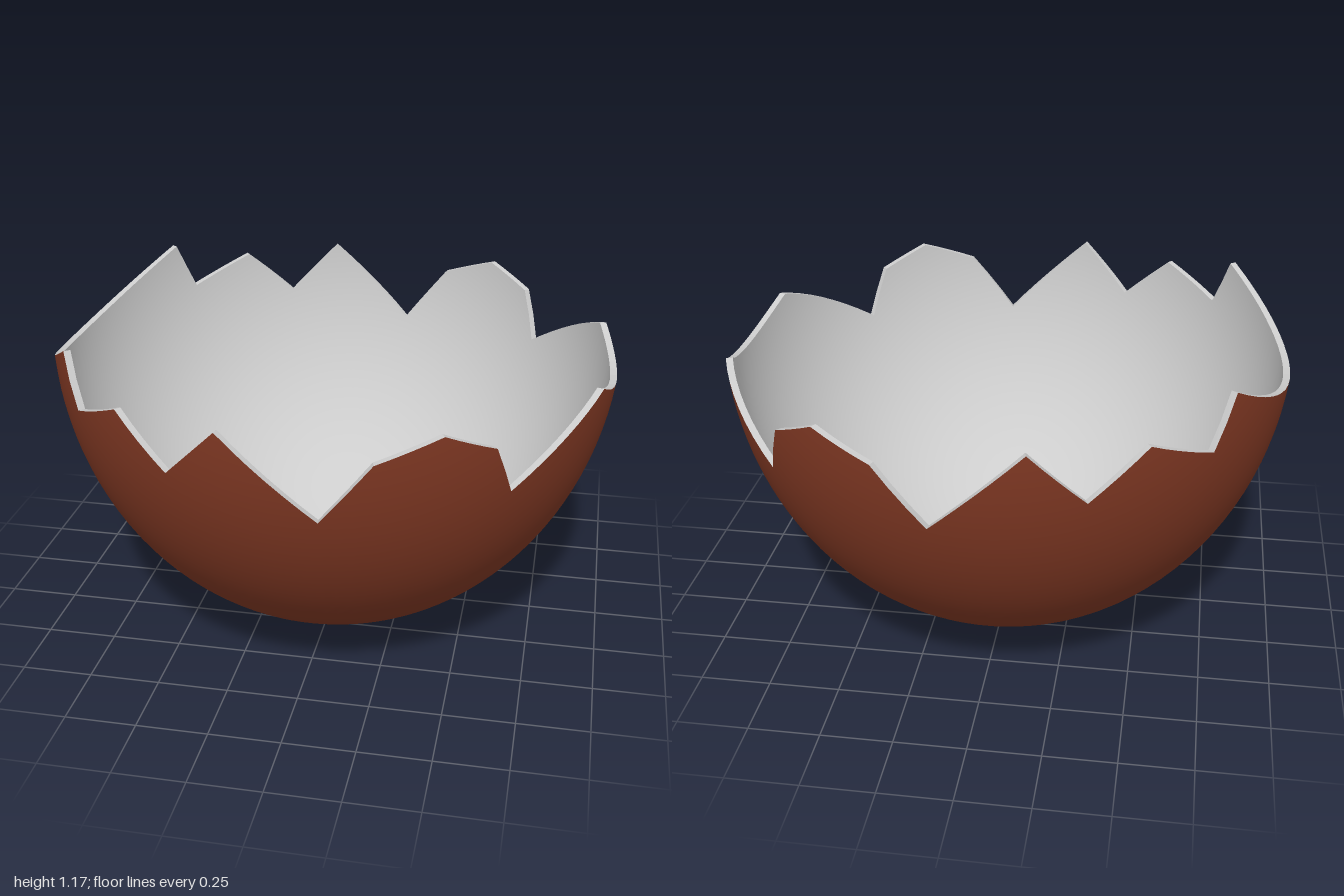
import * as THREE from 'three';

const CENTRE = 1.12;   // height of the widest level
const RADIUS = 1.005;
const THICK = 0.024;
const ROWS = 28;

// Jagged break line (x, y), the same on the front and back halves
const BREAK = [
  [1.0, 0.98], [0.95, 1.057], [0.685, 0.84], [0.64, 1.02], [0.49, 1.095],
  [0.29, 1.02], [0.12, 0.81], [-0.19, 1.10], [-0.37, 0.915], [-0.55, 1.083],
  [-0.74, 0.99], [-0.8, 1.17], [-1.0, 1.0],
];

// Rim columns all the way round: angle and height
function rimColumns() {
  const keys = BREAK.map(([x, y], i) => {
    const r = RADIUS * Math.sqrt(1 - ((CENTRE - y) / CENTRE) ** 2);
    const end = i === 0 || i === BREAK.length - 1;
    return { a: Math.acos(end ? Math.sign(x) : x / r), y };
  });
  const half = [];
  for (let i = 0; i < keys.length - 1; i++) {
    const p = keys[i], q = keys[i + 1];
    const steps = Math.max(2, Math.ceil((q.a - p.a) / 0.06));
    for (let s = 0; s < steps; s++) {
      const a = p.a + (q.a - p.a) * s / steps;
      const u = (Math.cos(a) - Math.cos(p.a)) / (Math.cos(q.a) - Math.cos(p.a));
      half.push({ a, y: p.y + (q.y - p.y) * u });
    }
  }
  half.push(keys[keys.length - 1]);
  const back = half.slice(0, -1).reverse().map(({ a, y }) => ({ a: 2 * Math.PI - a, y }));
  return half.concat(back);
}

function makeGeometry(positions, index, normals) {
  const g = new THREE.BufferGeometry();
  g.setAttribute('position', new THREE.Float32BufferAttribute(positions, 3));
  g.setIndex(index);
  if (normals) g.setAttribute('normal', new THREE.Float32BufferAttribute(normals, 3));
  return g;
}

// Ellipsoid bowl, each column reaching up to the break line
function bowl(columns, inset, inward) {
  const R = RADIUS - inset, H = CENTRE - inset;
  const pos = [], nor = [], idx = [], n = new THREE.Vector3();
  columns.forEach(({ a, y }, i) => {
    const top = Math.acos((CENTRE - y) / H);
    for (let j = 0; j <= ROWS; j++) {
      const f = top * j / ROWS, s = Math.sin(f), c = Math.cos(f);
      pos.push(R * s * Math.cos(a), CENTRE - H * c, R * s * Math.sin(a));
      n.set(s * Math.cos(a) / R, -c / H, s * Math.sin(a) / R).normalize();
      if (inward) n.negate();
      nor.push(n.x, n.y, n.z);
      if (i === columns.length - 1 || j === ROWS) continue;
      const p = i * (ROWS + 1) + j, q = p + ROWS + 1;
      const faces = j ? [[p, q, p + 1], [q, q + 1, p + 1]] : [[p, q + 1, p + 1]];
      for (const [k, l, m] of faces) idx.push(...(inward ? [k, l, m] : [k, m, l]));
    }
  });
  return makeGeometry(pos, idx, nor);
}

// Broken edge joining the outer and inner bowls
function rim(columns) {
  const pos = [], idx = [];
  columns.forEach(({ a, y }, i) => {
    for (const inset of [0, THICK]) {
      const k = (CENTRE - y) / (CENTRE - inset);
      const r = (RADIUS - inset) * Math.sqrt(1 - k * k);
      pos.push(r * Math.cos(a), y, r * Math.sin(a));
    }
    if (i < columns.length - 1) {
      const p = 2 * i;
      idx.push(p, p + 1, p + 2, p + 1, p + 3, p + 2);
    }
  });
  const g = makeGeometry(pos, idx).toNonIndexed();
  g.computeVertexNormals();
  return g;
}

export function createModel() {
  const brown = new THREE.MeshStandardMaterial({ color: 0x803823 });
  brown.name = 'shell brown';
  const white = new THREE.MeshStandardMaterial({ color: 0xcccccc });
  white.name = 'inner white';

  const group = new THREE.Group();
  group.name = 'brokenEggshell';
  const columns = rimColumns();
  const add = (name, geometry, material) => {
    const mesh = new THREE.Mesh(geometry, material);
    mesh.name = name;
    group.add(mesh);
  };
  add('outerShell', bowl(columns, 0, false), brown);
  add('innerShell', bowl(columns, THICK, true), white);
  add('brokenRim', rim(columns), white);
  return group;
}
